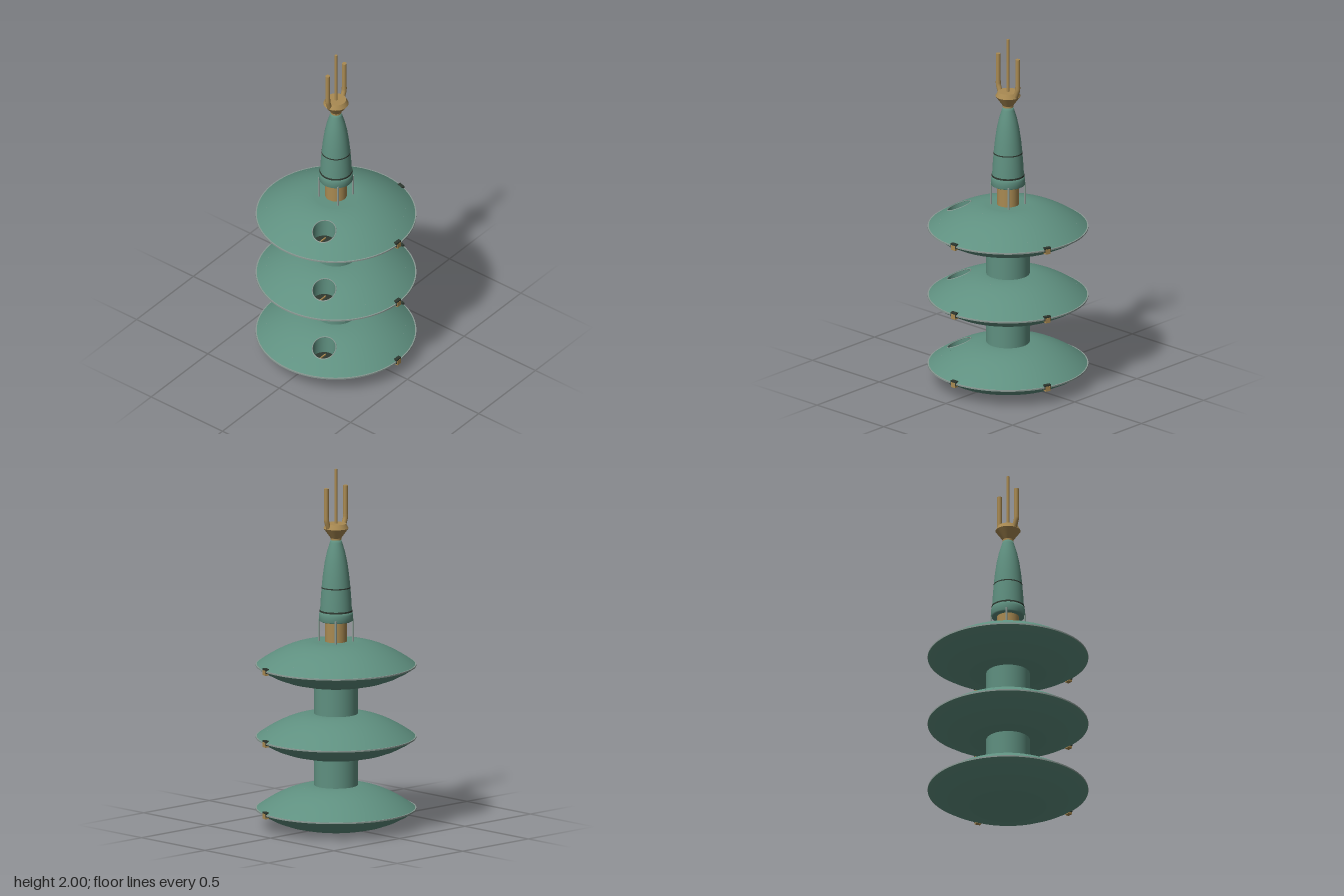
import * as THREE from 'three';
import { mergeGeometries } from 'three/addons/utils/BufferGeometryUtils.js';

const mat = (name, color) => Object.assign(new THREE.MeshStandardMaterial({ color }), { name });
const V2 = (x, y) => new THREE.Vector2(x, y);
const TAU = Math.PI * 2;

// Dome of a disc: height above the rim at radius r, and its slope
const domeY = r => 0.131 * (1 - Math.pow(Math.max(0, (r - 0.12) / 0.32), 1.8));
const domeSlope = r => 0.737 * Math.pow(Math.max(0, (r - 0.12) / 0.32), 0.8);

// Hatch position on each disc
const HX = -0.255, HZ = 0.12, HR = 0.064;
const hatchPhi = Math.atan2(HX, HZ), HALF = 0.35, R0 = 0.19, R1 = 0.38;

function domeBand(rOuter, rInner, n, start = 0, length = TAU) {
  const pts = [];
  for (let i = 0; i <= n; i++) {
    const r = rOuter + (rInner - rOuter) * i / n;
    pts.push(V2(r, domeY(r)));
  }
  return new THREE.LatheGeometry(pts, 96, start, length);
}

// Dome patch that blends from a ring sector to the round hatch opening
function hatchPatch() {
  const N = 64, M = 5, pos = [], uv = [], idx = [];
  for (let i = 0; i <= N; i++) {
    const t = TAU * i / N, c = Math.cos(t), s = Math.sin(t), k = 1 / Math.max(Math.abs(c), Math.abs(s));
    const phi = hatchPhi + HALF * c * k, r = (R0 + R1) / 2 + (R1 - R0) / 2 * s * k;
    const ox = r * Math.sin(phi), oz = r * Math.cos(phi);
    const ix = HX + HR * (c * Math.cos(hatchPhi) + s * Math.sin(hatchPhi));
    const iz = HZ + HR * (-c * Math.sin(hatchPhi) + s * Math.cos(hatchPhi));
    for (let j = 0; j <= M; j++) {
      const x = ix + (ox - ix) * j / M, z = iz + (oz - iz) * j / M;
      pos.push(x, domeY(Math.hypot(x, z)), z);
      uv.push(i / N, j / M);
      if (i < N && j < M) {
        const a = i * (M + 1) + j, b = a + 1, d = a + M + 1;
        idx.push(a, d, b, d, d + 1, b);
      }
    }
  }
  const g = new THREE.BufferGeometry();
  g.setAttribute('position', new THREE.Float32BufferAttribute(pos, 3));
  g.setAttribute('uv', new THREE.Float32BufferAttribute(uv, 2));
  g.setIndex(idx);
  g.computeVertexNormals();
  return g;
}

function domeGeometry() {
  const g = mergeGeometries([
    domeBand(0.44, R1, 5), domeBand(R0, 0.12, 5),
    domeBand(R1, R0, 8, hatchPhi + HALF, TAU - 2 * HALF), hatchPatch(),
  ]);
  // exact normals keep the joined bands smooth
  const p = g.attributes.position, v = new THREE.Vector3();
  for (let i = 0; i < p.count; i++) {
    const x = p.getX(i), z = p.getZ(i), r = Math.hypot(x, z), s = domeSlope(r);
    v.set(s * x / r, 1, s * z / r).normalize();
    g.attributes.normal.setXYZ(i, v.x, v.y, v.z);
  }
  return g;
}

// Raise vertices above y = 0 onto the dome
function followDome(g) {
  const p = g.attributes.position;
  for (let i = 0; i < p.count; i++) {
    if (p.getY(i) > -0.01) p.setY(i, p.getY(i) + domeY(Math.hypot(p.getX(i), p.getZ(i))));
  }
  g.computeVertexNormals();
  return g;
}

export function createModel() {
  const green = mat('green shell', 0x5f9080);
  const gold = mat('brass', 0xa98a52);
  const dark = mat('dark recess', 0x2e3830);
  const grey = mat('grey trim', 0x8a9a94);
  const model = new THREE.Group();
  model.name = 'tower';

  const add = (parent, name, geo, material, x = 0, y = 0, z = 0) => {
    const m = new THREE.Mesh(geo, material);
    m.name = name;
    m.position.set(x, y, z);
    parent.add(m);
    return m;
  };
  const cyl = (rt, rb, h, n = 32, open = false) => new THREE.CylinderGeometry(rt, rb, h, n, 1, open);
  const lathe = pts => new THREE.LatheGeometry(pts.map(p => V2(...p)), 64);

  // Shared disc geometry
  const dome = domeGeometry();
  const belly = new THREE.LatheGeometry([[0.21, -0.1], [0.28, -0.083], [0.34, -0.061],
    [0.4, -0.03], [0.44, -0.004]].map(p => V2(...p)), 96);
  const base = new THREE.CircleGeometry(0.21, 96).rotateX(Math.PI / 2);
  const wall = followDome(cyl(HR, HR, 0.09, 64, true).translate(0, -0.045, 0).scale(-1, 1, 1).translate(HX, 0, HZ));
  const lip = followDome(new THREE.TorusGeometry(HR + 0.001, 0.0025, 6, 64).rotateX(Math.PI / 2).translate(HX, 0, HZ));
  // bring the bottom of the hatch wall to the floor level
  for (let i = 0, p = wall.attributes.position; i < p.count; i++) if (p.getY(i) < -0.01) p.setY(i, 0);
  wall.computeVertexNormals();

  [0.105, 0.505, 0.907].forEach((y, i) => {
    const disc = new THREE.Group();
    disc.name = 'disc' + (i + 1);
    disc.position.y = y;
    model.add(disc);
    add(disc, 'dome', dome, green);
    add(disc, 'domeTop', new THREE.CircleGeometry(0.121, 64).rotateX(-Math.PI / 2), green, 0, 0.131);
    add(disc, 'belly', belly, green);
    add(disc, 'base', base, green, 0, -0.1);
    add(disc, 'rimBand', cyl(0.441, 0.441, 0.008, 96), grey);
    // Recessed hatch with two bars
    add(disc, 'hatchWall', wall, green);
    add(disc, 'hatchLip', lip, grey);
    add(disc, 'hatchFloor', cyl(HR, HR, 0.006, 48), dark, HX, 0.008, HZ);
    for (const z of [0.102, 0.138]) add(disc, 'hatchBar', new THREE.BoxGeometry(0.072, 0.008, 0.007), gold, HX, 0.014, z);
    // Rim clips at the front and the left side
    for (const a of [0, 1.27]) {
      const clip = new THREE.Group();
      clip.name = 'rimClip';
      clip.rotation.y = a;
      disc.add(clip);
      add(clip, 'clipPlate', new THREE.BoxGeometry(0.04, 0.026, 0.02), dark, 0, 0.002, 0.431);
      add(clip, 'clipBlock', new THREE.BoxGeometry(0.03, 0.028, 0.024), gold, 0, -0.008, 0.431);
    }
  });

  // Columns between discs
  add(model, 'lowerColumn', cyl(0.12, 0.12, 0.19, 64), green, 0, 0.32);
  add(model, 'upperColumn', cyl(0.12, 0.12, 0.19, 64), green, 0, 0.725);

  // Neck with four support rods
  add(model, 'neck', cyl(0.06, 0.06, 0.13, 48), gold, 0, 1.095);
  for (const x of [-0.066, 0.066]) for (const z of [-0.066, 0.066]) {
    add(model, 'neckRod', cyl(0.006, 0.006, 0.14, 12), grey, x, 1.095, z);
  }

  // Spire
  add(model, 'spireCollar', lathe([[0, 1.15], [0.085, 1.15], [0.094, 1.155], [0.094, 1.19], [0.088, 1.207], [0, 1.207]]), green);
  add(model, 'spire', lathe([[0.088, 1.2], [0.085, 1.26], [0.079, 1.34], [0.072, 1.41], [0.062, 1.48],
    [0.049, 1.54], [0.034, 1.59], [0.029, 1.605], [0, 1.605]]), green);
  add(model, 'lowerSeam', cyl(0.0895, 0.0905, 0.009, 64), dark, 0, 1.209);
  add(model, 'upperSeam', cyl(0.0798, 0.0805, 0.006, 64), dark, 0, 1.34);

  // Brass cup and three prongs
  add(model, 'cupFoot', cyl(0.029, 0.029, 0.02), gold, 0, 1.607);
  add(model, 'cupBowl', cyl(0.069, 0.029, 0.055, 48, true), gold, 0, 1.6425);
  add(model, 'cupShoulder', cyl(0.056, 0.069, 0.026, 48), gold, 0, 1.683);
  add(model, 'centreProng', cyl(0.008, 0.009, 0.31, 16), gold, 0, 1.845);
  for (const s of [-1, 1]) {
    const foot = new THREE.CatmullRomCurve3([[0.056, 1.675], [0.064, 1.695], [0.072, 1.72], [0.073, 1.74]]
      .map(([x, y]) => new THREE.Vector3(s * x, y, 0)));
    add(model, 'prongFoot', new THREE.TubeGeometry(foot, 12, 0.014, 16), gold);
    add(model, 'sideProng', cyl(0.013, 0.013, 0.17, 20), gold, s * 0.073, 1.815);
  }
  return model;
}
